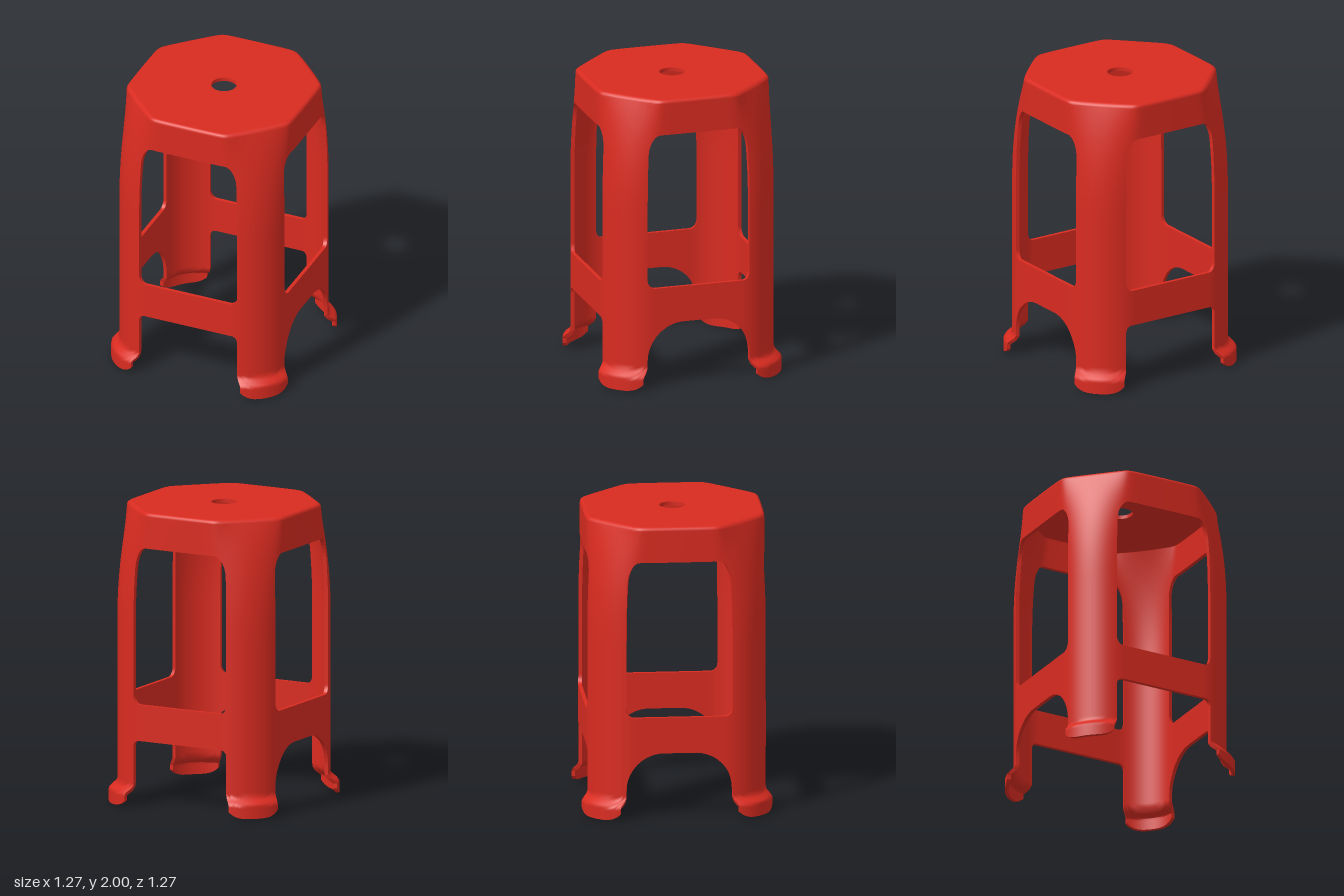
import * as THREE from 'three';

const HALF = 0.6, R = 0.3;          // rounded-square body
const EDGE = 0.3553;                // where each leg meets the openings
const SIDE = 2 * (HALF - R) + R * Math.PI / 2; // perimeter length of one side
const WALL = 0.025;
const clamp = THREE.MathUtils.clamp;

// Body surface: u runs along the perimeter of one side, y is the height
function surface(u, y) {
  const s = Math.sign(u), a = Math.max(0, Math.abs(u) - (HALF - R)) / R;
  let x = a > 0 ? s * (HALF - R + R * Math.sin(a)) : u;
  let z = HALF - R + R * Math.cos(a);
  // corners are chamfered more and more towards the seat
  const d = Math.abs(x) + z - 0.87;
  const cut = (d + Math.hypot(d, 0.04)) / 4 * 2 * 0.5 * Math.pow(clamp((y - 1.2) / 0.8, 0, 1), 2.3);
  const side = clamp(x / 0.2, -1, 1);
  x -= side * cut;
  z -= cut;
  // feet flare out diagonally
  const flare = 0.042 * (1 - THREE.MathUtils.smoothstep(y, 0.08, 0.145));
  x += side * flare;
  z += flare;
  // small fillet under the seat rim
  const f = Math.max(0, y - 1.975);
  const k = 1 - (0.025 - Math.sqrt(Math.max(0, 0.025 ** 2 - f * f))) / HALF;
  return new THREE.Vector3(x * k, y, z * k);
}

function normalAt(u, y) {
  const e = 1e-4;
  const du = surface(u + e, y).sub(surface(u - e, y));
  const dy = surface(u, Math.min(2, y + e)).sub(surface(u, y - e));
  return du.cross(dy).normalize();
}

// Thin wall patch between two height curves, with rims on the named edges
function wallPatch(u0, u1, low, high, nu, nv, rims) {
  const pos = [], nor = [], idx = [];
  const ease = t => 0.5 - 0.5 * Math.cos(Math.PI * t);
  const outer = [], inner = [];
  const push = (p, n) => { pos.push(p.x, p.y, p.z); nor.push(n.x, n.y, n.z); return pos.length / 3 - 1; };
  const quad = (a, b, c, d) => idx.push(a, b, c, a, c, d);
  for (let i = 0; i <= nu; i++) {
    const u = u0 + (u1 - u0) * ease(i / nu);
    outer.push([]); inner.push([]);
    for (let j = 0; j <= nv; j++) {
      const y = low(u) + (high(u) - low(u)) * ease(j / nv);
      const p = surface(u, y), n = normalAt(u, y);
      outer[i].push(push(p, n));
      inner[i].push(push(p.clone().addScaledVector(n, -WALL), n.clone().negate()));
    }
  }
  for (let i = 0; i < nu; i++) for (let j = 0; j < nv; j++) {
    quad(outer[i][j], outer[i + 1][j], outer[i + 1][j + 1], outer[i][j + 1]);
    quad(inner[i][j], inner[i][j + 1], inner[i + 1][j + 1], inner[i + 1][j]);
  }
  const at = k => new THREE.Vector3().fromArray(pos, k * 3);
  const rim = (o0, o1, i1, i0) => {
    const a = at(o0), b = at(o1), c = at(i1), d = at(i0);
    const n = c.clone().sub(a).cross(d.clone().sub(b)).normalize();
    quad(push(a, n), push(b, n), push(c, n), push(d, n));
  };
  if (rims.includes('low')) for (let i = 0; i < nu; i++)
    rim(outer[i + 1][0], outer[i][0], inner[i][0], inner[i + 1][0]);
  if (rims.includes('high')) for (let i = 0; i < nu; i++)
    rim(outer[i][nv], outer[i + 1][nv], inner[i + 1][nv], inner[i][nv]);
  if (rims.includes('sides')) for (let j = 0; j < nv; j++) {
    rim(outer[0][j], outer[0][j + 1], inner[0][j + 1], inner[0][j]);
    rim(outer[nu][j + 1], outer[nu][j], inner[nu][j], inner[nu][j + 1]);
  }
  const g = new THREE.BufferGeometry();
  g.setAttribute('position', new THREE.Float32BufferAttribute(pos, 3));
  g.setAttribute('normal', new THREE.Float32BufferAttribute(nor, 3));
  g.setIndex(idx);
  return g;
}

// Height of a rounded opening corner of width w and height h
function corner(u, w, h) {
  const d = clamp((Math.abs(u) - (EDGE - w)) / w, 0, 1);
  return h * (1 - Math.sqrt(1 - d * d));
}

export function createModel() {
  const model = new THREE.Group();
  model.name = 'stool';
  const red = new THREE.MeshStandardMaterial({ color: 0xd92b20, side: THREE.DoubleSide });
  const add = (name, geometry, turn = 0) => {
    const m = new THREE.Mesh(geometry, red);
    m.name = name;
    m.rotation.y = turn * Math.PI / 2;
    model.add(m);
    return m;
  };

  // Curved corner leg ending in a flared foot with rounded ends
  const footLine = u => 0.045 * Math.pow(Math.abs(u - SIDE / 2) / (SIDE / 2 - EDGE), 4);
  const leg = wallPatch(EDGE, SIDE - EDGE, footLine, () => 2, 20, 70, ['low', 'sides']);

  // Apron above the window, and the two kinds of rail below it
  const apron = wallPatch(-EDGE, EDGE, u => 1.76 - corner(u, 0.09, 0.14), () => 2, 48, 24, ['low']);
  const railTop = u => 0.695 + corner(u, 0.05, 0.06);
  const straightRail = wallPatch(-EDGE, EDGE, u => 0.45 - corner(u, 0.04, 0.045), railTop, 48, 6, ['low', 'high']);
  const archedRail = wallPatch(-EDGE, EDGE, u => 0.45 - corner(u, 0.25, 0.26), railTop, 48, 8, ['low', 'high']);

  const legNames = ['frontLeftLeg', 'backLeftLeg', 'backRightLeg', 'frontRightLeg'];
  const sideNames = ['front', 'left', 'back', 'right'];
  for (let k = 0; k < 4; k++) {
    add(legNames[k], leg, k);
    add(sideNames[k] + 'Apron', apron, k);
    add(sideNames[k] + 'Rail', k % 2 ? archedRail : straightRail, k);
  }

  // Flat seat with a round hole in the middle
  const outline = [];
  for (let k = 0; k < 4; k++) for (let i = 0; i < 40; i++) {
    const p = surface(-EDGE + SIDE * i / 40, 2).applyAxisAngle(new THREE.Vector3(0, 1, 0), k * Math.PI / 2);
    outline.push(new THREE.Vector2(p.x, -p.z));
  }
  const seatShape = new THREE.Shape(outline);
  seatShape.holes.push(new THREE.Path().absarc(0, 0, 0.085, 0, Math.PI * 2, true));
  const seat = new THREE.ExtrudeGeometry(seatShape, { depth: WALL, bevelEnabled: false, curveSegments: 32 });
  seat.rotateX(-Math.PI / 2);
  add('seat', seat).position.y = 2 - WALL;

  return model;
}
